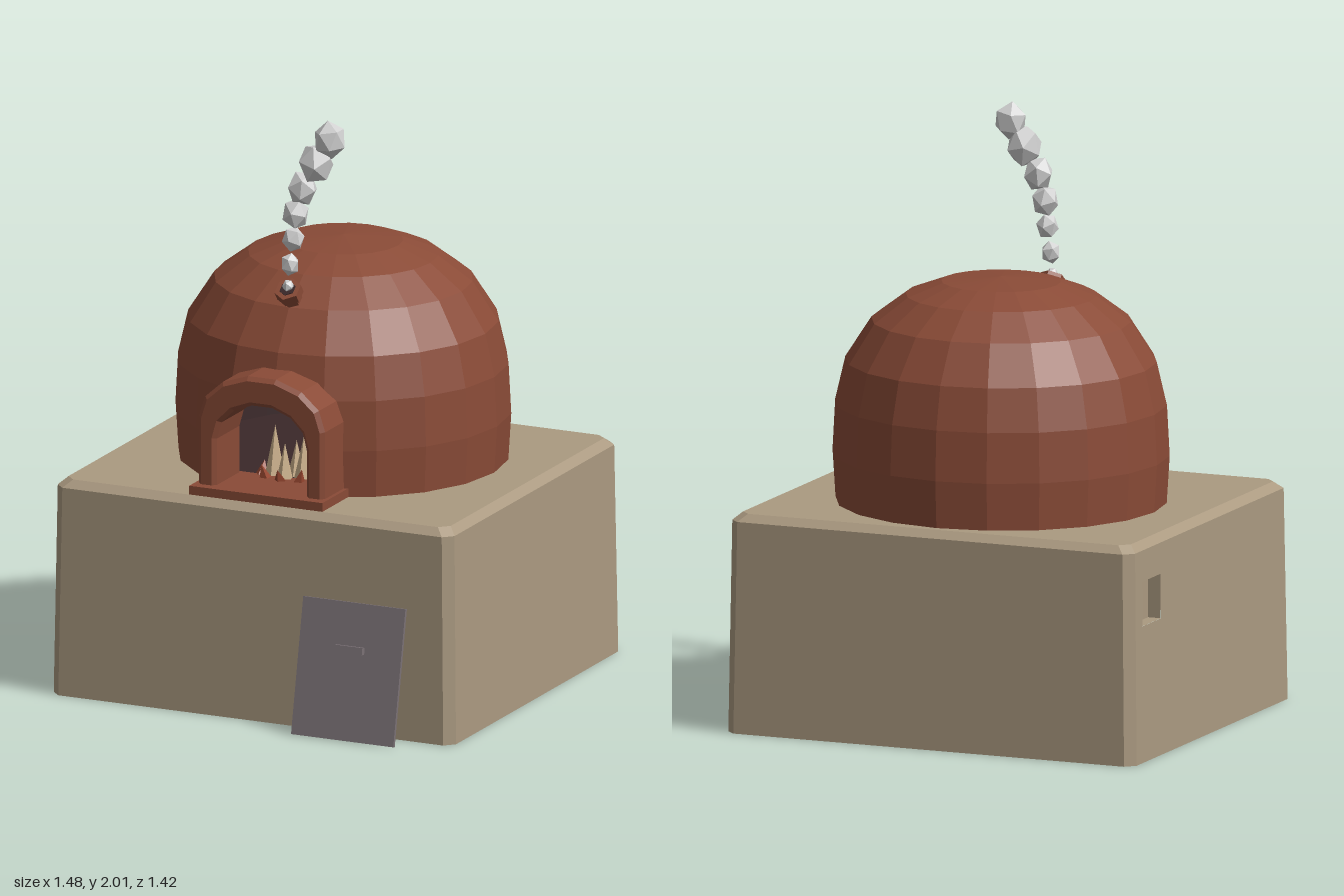
import * as THREE from 'three';

const mat = (name, color, extra = {}) => {
  const m = new THREE.MeshStandardMaterial({ color, flatShading: true, ...extra });
  m.name = name;
  return m;
};

// Flat-faced geometry from a list of points and polygons
function facets(points, polys) {
  const pos = [];
  for (const p of polys)
    for (let i = 1; i < p.length - 1; i++)
      for (const k of [p[0], p[i], p[i + 1]]) pos.push(...points[k]);
  const g = new THREE.BufferGeometry();
  g.setAttribute('position', new THREE.Float32BufferAttribute(pos, 3));
  g.computeVertexNormals();
  return g;
}

// Round shell with an opening at the front; flip makes it face inwards
function domeGeometry(scale, flip) {
  const N = 20;
  const profile = [[0.555, 0], [0.565, 0.16], [0.556, 0.33], [0.522, 0.475], [0.435, 0.61], [0.32, 0.695], [0.2, 0.74]];
  const pts = [], polys = [];
  for (const [r, y] of profile)
    for (let j = 0; j < N; j++) {
      const a = (j / N) * Math.PI * 2;
      pts.push([r * scale * Math.sin(a), y * scale, r * scale * Math.cos(a) * 0.965]);
    }
  const apex = pts.push([0, 0.756 * scale, 0]) - 1;
  for (let j = 0; j < N; j++) {
    const k = (j + 1) % N, last = (profile.length - 1) * N;
    for (let i = 0; i < profile.length - 1; i++) {
      if (i < 2 && (j === 0 || j === N - 1)) continue; // mouth opening
      polys.push([i * N + j, i * N + k, (i + 1) * N + k, (i + 1) * N + j]);
    }
    polys.push([last + j, last + k, apex]);
  }
  if (flip) polys.forEach(p => p.reverse());
  return facets(pts, polys);
}

// Arch outline from right foot over the top to left foot
function archPoints(halfWidth, foot, spring, top) {
  const pts = [new THREE.Vector2(halfWidth, foot)];
  const ry = (top - spring) / 0.975;
  for (let i = 0; i <= 7; i++) {
    const a = (i / 7) * Math.PI;
    pts.push(new THREE.Vector2(halfWidth * Math.cos(a), spring + ry * Math.sin(a)));
  }
  pts.push(new THREE.Vector2(-halfWidth, foot));
  return pts;
}

export function createModel() {
  const stone = mat('stone', 0xab9a81);
  const clay = mat('clay', 0x8a4b37);
  const soot = mat('soot', 0x3a2829);
  const metal = mat('metal', 0x7b7276);
  const smokeGrey = mat('smoke grey', 0xd0d0d0);
  const flame = mat('flame', 0xd0b48e);
  const ember = mat('ember', 0x94452f);

  const model = new THREE.Group();
  model.name = 'oven';
  const add = (name, geometry, material, parent = model, x = 0, y = 0, z = 0) => {
    const m = new THREE.Mesh(geometry, material);
    m.name = name;
    m.position.set(x, y, z);
    parent.add(m);
    return m;
  };

  // Stone base: tapered block with cut corners and a bevelled top
  const base = new THREE.Group();
  base.name = 'base';
  base.position.z = -0.053;
  model.add(base);
  const pts = [], polys = [], c = 0.032;
  for (const [w, d, y] of [[0.74, 0.657, 0], [0.73, 0.647, 0.715], [0.703, 0.62, 0.74]])
    pts.push([w, y, d - c], [w, y, c - d], [w - c, y, -d], [c - w, y, -d],
      [-w, y, c - d], [-w, y, d - c], [c - w, y, d], [w - c, y, d]);
  for (let level = 0; level < 2; level++)
    for (let i = 0; i < 8; i++) {
      if (level === 0 && i === 4) continue; // side wall with the niche
      const a = level * 8 + i, b = level * 8 + (i + 1) % 8;
      polys.push([a, b, b + 8, a + 8]);
    }
  polys.push([16, 17, 18, 19, 20, 21, 22, 23], [7, 6, 5, 4, 3, 2, 1, 0]);
  add('baseBlock', facets(pts, polys), stone, base);

  // Side wall with a square niche
  const wall = new THREE.Shape([[-0.625, 0], [0.625, 0], [0.615, 0.715], [-0.615, 0.715]].map(p => new THREE.Vector2(...p)));
  wall.holes.push(new THREE.Path([[-0.56, 0.46], [-0.56, 0.61], [-0.41, 0.61], [-0.41, 0.46]].map(p => new THREE.Vector2(...p))));
  const wallGeo = new THREE.ShapeGeometry(wall);
  const wp = wallGeo.attributes.position;
  for (let i = 0; i < wp.count; i++) {
    const z = wp.getX(i), y = wp.getY(i);
    wp.setXYZ(i, -0.74 + 0.014 * y, y, z);
  }
  wallGeo.computeVertexNormals();
  add('sideWall', wallGeo, stone, base);
  const nicheGeo = new THREE.BoxGeometry(0.045, 0.15, 0.15);
  nicheGeo.scale(-1, 1, 1); // turns the faces inwards
  nicheGeo.computeVertexNormals();
  add('niche', nicheGeo, stone, base, -0.71, 0.535, -0.485);

  // Clay dome with a sooty lining and floor
  add('dome', domeGeometry(1, false), clay, model, 0, 0.74, -0.11);
  add('domeLining', domeGeometry(0.94, true), soot, model, 0, 0.74, -0.11);
  add('ovenFloor', new THREE.CylinderGeometry(0.5, 0.5, 0.008, 20), soot, model, 0, 0.744, -0.11);

  // Mouth: arched frame and sill
  const arch = new THREE.Shape([
    ...archPoints(0.232, 0.75, 1.0, 1.16),
    ...archPoints(0.166, 0.75, 0.93, 1.06).reverse(),
  ]);
  const bevel = 0.014;
  add('mouthFrame', new THREE.ExtrudeGeometry(arch, {
    depth: 0.2 - 2 * bevel, bevelEnabled: true, bevelSegments: 1,
    bevelSize: bevel, bevelThickness: bevel, bevelOffset: -bevel,
  }), clay, model, 0, 0, 0.33 + bevel);
  add('mouthSill', new THREE.BoxGeometry(0.49, 0.03, 0.235), clay, model, 0, 0.755, 0.4475);

  // Fire: flames over a ring of embers
  const fire = new THREE.Group();
  fire.name = 'fire';
  fire.position.set(0, 0.76, 0.31);
  model.add(fire);
  for (const [x, z, r, h] of [[-0.05, 0, 0.036, 0.18], [0, 0.03, 0.03, 0.13], [0.055, 0, 0.034, 0.15], [0.005, -0.05, 0.03, 0.12]])
    add('flame', new THREE.ConeGeometry(r, h, 5), flame, fire, x, h / 2, z);
  for (let i = 0; i < 8; i++) {
    const a = (i / 8) * Math.PI * 2;
    const m = add('ember', new THREE.ConeGeometry(0.026, 0.06, 4), ember, fire, 0.095 * Math.sin(a), 0.025, 0.075 * Math.cos(a));
    m.rotation.set(0.5 * Math.cos(a), a, -0.5 * Math.sin(a));
  }

  // Flue leaning out of the dome
  const flue = new THREE.Group();
  flue.name = 'flue';
  flue.position.set(0, 1.385, 0.295);
  flue.rotation.x = 0.66;
  model.add(flue);
  add('fluePipe', new THREE.CylinderGeometry(0.034, 0.034, 0.08, 6), clay, flue, 0, -0.02, 0);
  add('flueRim', new THREE.CylinderGeometry(0.046, 0.046, 0.035, 6), clay, flue, 0, 0.022, 0);
  add('flueHole', new THREE.CylinderGeometry(0.028, 0.028, 0.004, 6), soot, flue, 0, 0.04, 0);

  // Smoke puffs growing as they drift
  const smoke = new THREE.Group();
  smoke.name = 'smoke';
  model.add(smoke);
  const puffs = [[0, 1.425, 0.315, 0.022], [0.005, 1.5, 0.312, 0.036], [0.015, 1.588, 0.308, 0.041],
    [0.022, 1.675, 0.305, 0.05], [0.045, 1.765, 0.3, 0.056], [0.092, 1.855, 0.293, 0.066], [0.14, 1.94, 0.288, 0.06]];
  puffs.forEach(([x, y, z, r], i) => {
    const g = new THREE.IcosahedronGeometry(r, 0);
    g.rotateX(i * 1.3);
    g.rotateZ(i * 0.9);
    g.scale(0.95, 1.1, 0.92);
    add('smokePuff', g, smokeGrey, smoke, x, y, z);
  });

  // Metal door leaning on the base
  const door = new THREE.Group();
  door.name = 'door';
  door.position.set(0.385, 0.002, 0.7);
  door.rotation.x = -0.205;
  model.add(door);
  add('doorPlate', new THREE.BoxGeometry(0.376, 0.462, 0.012), metal, door, 0, 0.231, 0);
  add('doorHandle', new THREE.BoxGeometry(0.105, 0.024, 0.022), metal, door, 0, 0.305, 0.014);

  return model;
}
